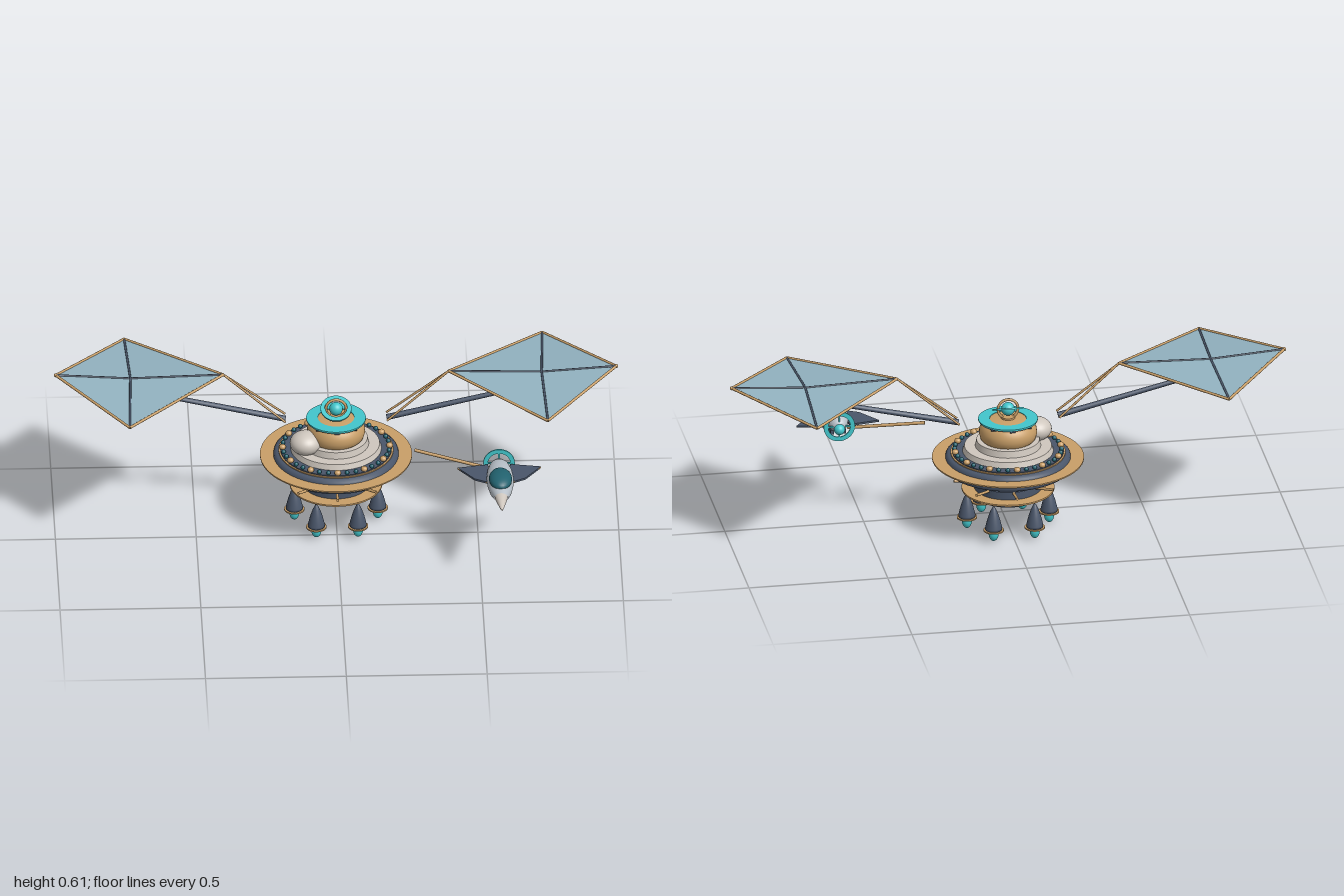
import * as THREE from 'three';

const mat = (name, color, double) => {
  const m = new THREE.MeshStandardMaterial({ color });
  m.name = name;
  if (double) m.side = THREE.DoubleSide;
  return m;
};

export function createModel() {
  const gold = mat('gold', 0xc99f68), dark = mat('slate', 0x4a566a, true), white = mat('ivory', 0xcfc7be);
  const teal = mat('deep teal', 0x22626f), cyan = mat('cyan glow', 0x42c6cc);
  const sail = mat('solar blue', 0x92b2c0, true), silver = mat('silver', 0xb9c1c9);

  const root = new THREE.Group();
  root.name = 'orbitalStation';
  const V = (x, y, z) => new THREE.Vector3(x, y, z);

  const add = (parent, name, geo, material, x = 0, y = 0, z = 0) => {
    const m = new THREE.Mesh(geo, material);
    m.name = name;
    m.position.set(x, y, z);
    parent.add(m);
    return m;
  };
  const group = (parent, name, x = 0, y = 0, z = 0) => {
    const g = new THREE.Group();
    g.name = name;
    g.position.set(x, y, z);
    parent.add(g);
    return g;
  };
  const disc = (parent, name, r, y0, y1, material, r2 = r) =>
    add(parent, name, new THREE.CylinderGeometry(r2, r, y1 - y0, 64), material, 0, (y0 + y1) / 2, 0);
  const ball = (parent, name, rx, ry, rz, material, x, y, z) => {
    const m = add(parent, name, new THREE.SphereGeometry(1, 32, 20), material, x, y, z);
    m.scale.set(rx, ry, rz);
    return m;
  };
  const rod = (parent, name, a, b, r, material, r2 = r) => {
    const d = b.clone().sub(a);
    const m = add(parent, name, new THREE.CylinderGeometry(r2, r, d.length(), 10), material);
    m.position.copy(a).addScaledVector(d, 0.5);
    m.quaternion.setFromUnitVectors(V(0, 1, 0), d.normalize());
    return m;
  };
  const lathe = (parent, name, pts, material) =>
    add(parent, name, new THREE.LatheGeometry(pts.map(p => new THREE.Vector2(...p)), 64), material);
  // Flat ring with thickness, lying in the xy plane
  const annulus = (inner, outer, depth) => {
    const s = new THREE.Shape().absarc(0, 0, outer, 0, Math.PI * 2);
    s.holes.push(new THREE.Path().absarc(0, 0, inner, 0, Math.PI * 2, true));
    return new THREE.ExtrudeGeometry(s, { depth, bevelEnabled: false, curveSegments: 32 }).translate(0, 0, -depth / 2);
  };
  const around = (n, fn) => {
    for (let i = 0; i < n; i++) {
      const a = (i / n) * Math.PI * 2;
      fn(Math.cos(a), Math.sin(a), i);
    }
  };

  const station = group(root, 'station', 0, 0, -0.115);

  // Main saucer and deck
  const saucer = group(station, 'saucer');
  lathe(saucer, 'hull', [[0, 0.223], [0.212, 0.223], [0.22, 0.227], [0.224, 0.236], [0.224, 0.26],
    [0.221, 0.273], [0.213, 0.28], [0.2, 0.283], [0, 0.283]], dark);
  disc(saucer, 'rimRing', 0.27, 0.261, 0.266, gold);
  disc(saucer, 'deckTrim', 0.204, 0.282, 0.286, gold);
  disc(saucer, 'deck', 0.198, 0.284, 0.29, dark);
  around(12, (c, s) => ball(saucer, 'deckLamp', 0.012, 0.01, 0.012, gold, 0.19 * c, 0.297, 0.19 * s));
  around(36, (c, s, i) => {
    if (i % 3) ball(saucer, 'deckBead', 0.008, 0.008, 0.008, teal, 0.19 * c, 0.296, 0.19 * s);
  });

  // Stepped collar, dome and side pod
  const tower = group(station, 'tower');
  disc(tower, 'lowerCollar', 0.163, 0.285, 0.31, white, 0.155);
  disc(tower, 'upperCollar', 0.117, 0.308, 0.334, white, 0.112);
  lathe(tower, 'dome', [[0.088, 0.33], [0.098, 0.34], [0.103, 0.358], [0.102, 0.375], [0.095, 0.393],
    [0.082, 0.406], [0.06, 0.414], [0, 0.417]], gold);
  ball(tower, 'sidePod', 0.056, 0.042, 0.056, white, -0.11, 0.343, 0.052);
  add(tower, 'crownRing', annulus(0.065, 0.106, 0.005), cyan, 0, 0.412, 0).rotation.x = Math.PI / 2;
  add(tower, 'crownUnderside', annulus(0.063, 0.104, 0.004), dark, 0, 0.4085, 0).rotation.x = Math.PI / 2;
  around(8, (c, s) => add(tower, 'crownClamp', new THREE.BoxGeometry(0.018, 0.01, 0.018), dark, 0.09 * c, 0.404, 0.09 * s));

  // Gyroscope beacon
  const beacon = group(tower, 'beacon', 0, 0.45, 0);
  ball(beacon, 'beaconCore', 0.024, 0.024, 0.024, cyan, 0, 0, 0);
  add(beacon, 'uprightHoop', new THREE.TorusGeometry(0.036, 0.005, 10, 48), gold);
  const hoop = add(beacon, 'tiltedHoop', annulus(0.038, 0.055, 0.006), cyan);
  hoop.rotation.x = Math.PI / 2 + 0.42;
  disc(beacon, 'beaconFoot', 0.025, -0.036, -0.028, gold);

  // Lower module
  const lower = group(station, 'lowerModule');
  disc(lower, 'drum', 0.12, 0.137, 0.178, dark);
  disc(lower, 'skirtRing', 0.165, 0.143, 0.149, gold);
  disc(lower, 'glowBand', 0.122, 0.131, 0.137, teal);
  disc(lower, 'drumBase', 0.12, 0.12, 0.132, dark);
  lathe(lower, 'bowl', [[0, 0.088], [0.025, 0.09], [0.045, 0.097], [0.06, 0.108], [0.068, 0.122]], gold);
  around(8, (c, s) => rod(lower, 'spoke', V(0.115 * c, 0.173, 0.115 * s), V(0.195 * c, 0.185, 0.195 * s), 0.005, gold));

  // Six thrusters
  around(6, (c, s) => {
    const t = group(station, 'thruster', 0.148 * c, 0, 0.148 * s);
    lathe(t, 'nozzle', [[0, 0.043], [0.03, 0.043], [0.03, 0.052], [0.022, 0.085], [0.013, 0.112], [0.004, 0.131], [0, 0.132]], dark);
    disc(t, 'nozzleRing', 0.036, 0.039, 0.044, gold);
    ball(t, 'exhaust', 0.018, 0.028, 0.018, cyan, 0, 0.028, 0);
  });

  // Solar sails, one each side
  for (const s of [1, -1]) {
    const wing = group(station, s > 0 ? 'leftSail' : 'rightSail');
    const inner = V(0.4 * s, 0.597, 0), outer = V(0.995 * s, 0.606, 0);
    const front = V(0.742 * s, 0.568, 0.313), back = V(0.742 * s, 0.568, -0.313), mid = V(0.73 * s, 0.588, 0);
    const rim = [inner, front, outer, back];
    const pts = [];
    rim.forEach((p, i) => {
      const q = rim[(i + 1) % 4];
      pts.push(...(s > 0 ? [mid, p, q] : [mid, q, p]));
      rod(wing, 'sailEdge', p, q, 0.005, gold);
      rod(wing, 'sailRib', mid, p, 0.004, dark);
    });
    const g = new THREE.BufferGeometry().setFromPoints(pts);
    g.computeVertexNormals();
    add(wing, 'sailSheet', g, sail);
    rod(wing, 'boom', V(0.18 * s, 0.412, 0), outer, 0.011, dark, 0.006);
    for (const z of [-0.03, 0.03]) rod(wing, 'stay', V(0.18 * s, 0.415, z), inner, 0.004, gold);
    ball(wing, 'sailTip', 0.007, 0.007, 0.007, gold, outer.x, outer.y, 0);
  }

  // Docked shuttle, nose towards +z
  const ship = group(root, 'shuttle', 0.572, 0.335, 0);
  const along = (name, pts, material, sx, sy) => {
    const m = lathe(ship, name, pts, material);
    m.rotation.x = Math.PI / 2;
    m.scale.set(sx, 1, sy);
    return m;
  };
  along('fuselage', [[0, 0.085], [0.018, 0.088], [0.028, 0.11], [0.036, 0.15], [0.04, 0.2], [0.038, 0.25],
    [0.032, 0.295], [0.02, 0.337]], silver, 1.2, 1);
  along('noseCone', [[0.021, 0.335], [0.014, 0.37], [0.007, 0.405], [0, 0.43]], white, 1.1, 0.95);
  ball(ship, 'canopy', 0.041, 0.026, 0.067, teal, 0, 0.028, 0.25);
  add(ship, 'driveRing', annulus(0.04, 0.056, 0.005), cyan, 0, 0, 0.09);
  for (const a of [0, Math.PI / 2])
    add(ship, 'ringStrut', new THREE.BoxGeometry(0.09, 0.006, 0.004), cyan, 0, 0, 0.09).rotation.z = a;
  ball(ship, 'driveGlow', 0.02, 0.02, 0.022, cyan, 0, -0.01, 0.088);
  for (const s of [1, -1]) {
    const w = new THREE.Shape([[0.025, -0.235], [0.09, -0.2], [0.148, -0.12], [0.04, -0.1]].map(p => new THREE.Vector2(p[0] * s, p[1])));
    const g = new THREE.ExtrudeGeometry(w, { depth: 0.007, bevelEnabled: false });
    add(ship, s > 0 ? 'leftWing' : 'rightWing', g, dark, 0, -0.006, 0).rotation.x = -Math.PI / 2;
    rod(ship, 'wingEdge', V(0.045 * s, -0.002, 0.224), V(0.146 * s, -0.002, 0.122), 0.003, gold);
    add(ship, 'skid', new THREE.BoxGeometry(0.012, 0.016, 0.09), dark, 0.022 * s, -0.03, 0.155);
  }

  // Docking arm reaching back towards the station
  rod(root, 'dockingArm', V(0.275, 0.356, 0.025), V(0.54, 0.322, 0.105), 0.006, gold);

  return root;
}
